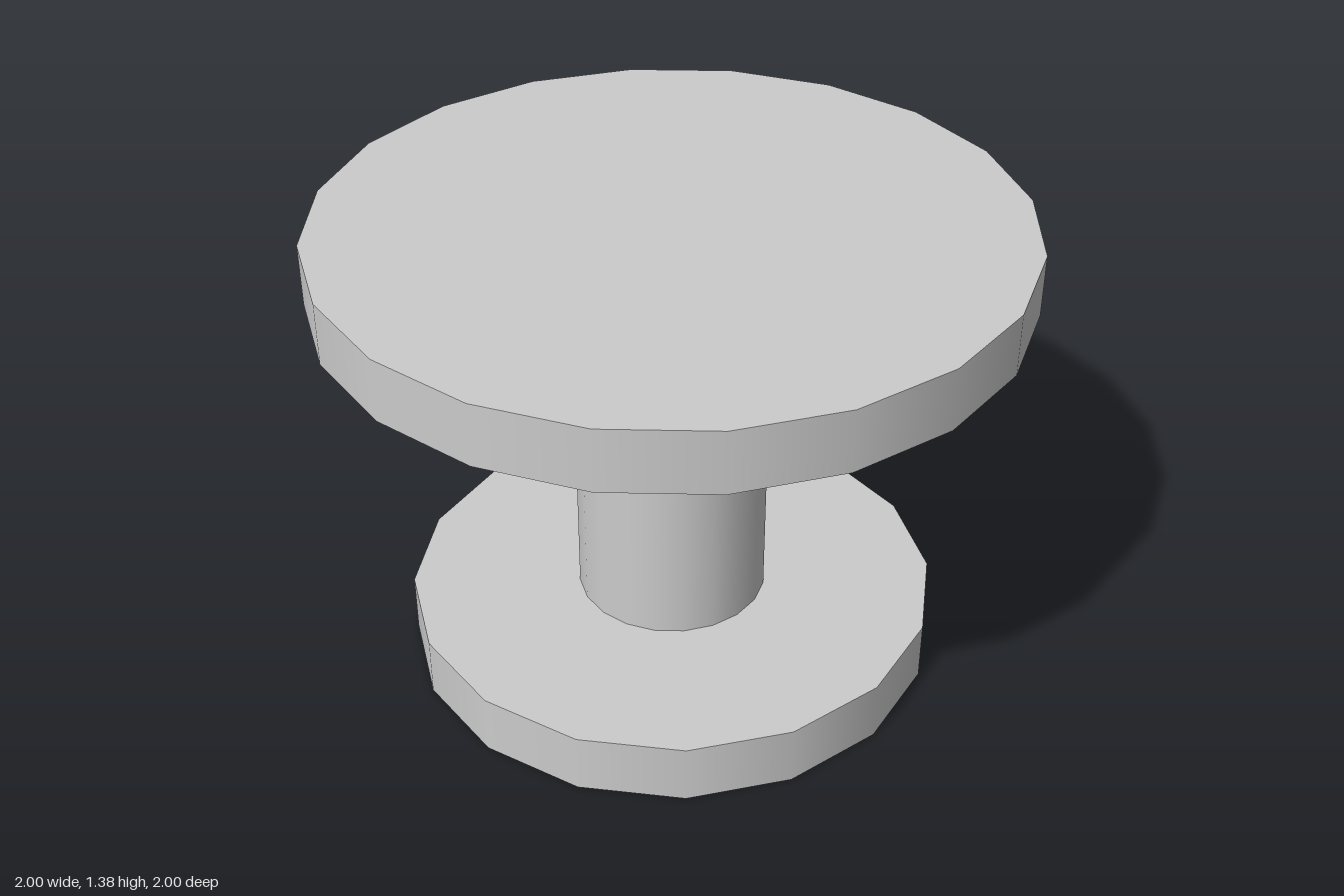
import * as THREE from 'three';

export function createModel() {
  const group = new THREE.Group();
  const material = new THREE.MeshStandardMaterial({ color: 0xcccccc });

  // Upright round part standing between two heights
  function addDisc(name, radius, bottom, top, sides) {
    const geometry = new THREE.CylinderGeometry(radius, radius, top - bottom, sides);
    const mesh = new THREE.Mesh(geometry, material);
    mesh.name = name;
    mesh.position.y = (bottom + top) / 2;
    group.add(mesh);
  }

  addDisc('base', 0.78, 0, 0.18, 16);
  addDisc('column', 0.28, 0.18, 1.2, 20);
  addDisc('top', 1, 1.2, 1.38, 20);

  return group;
}
